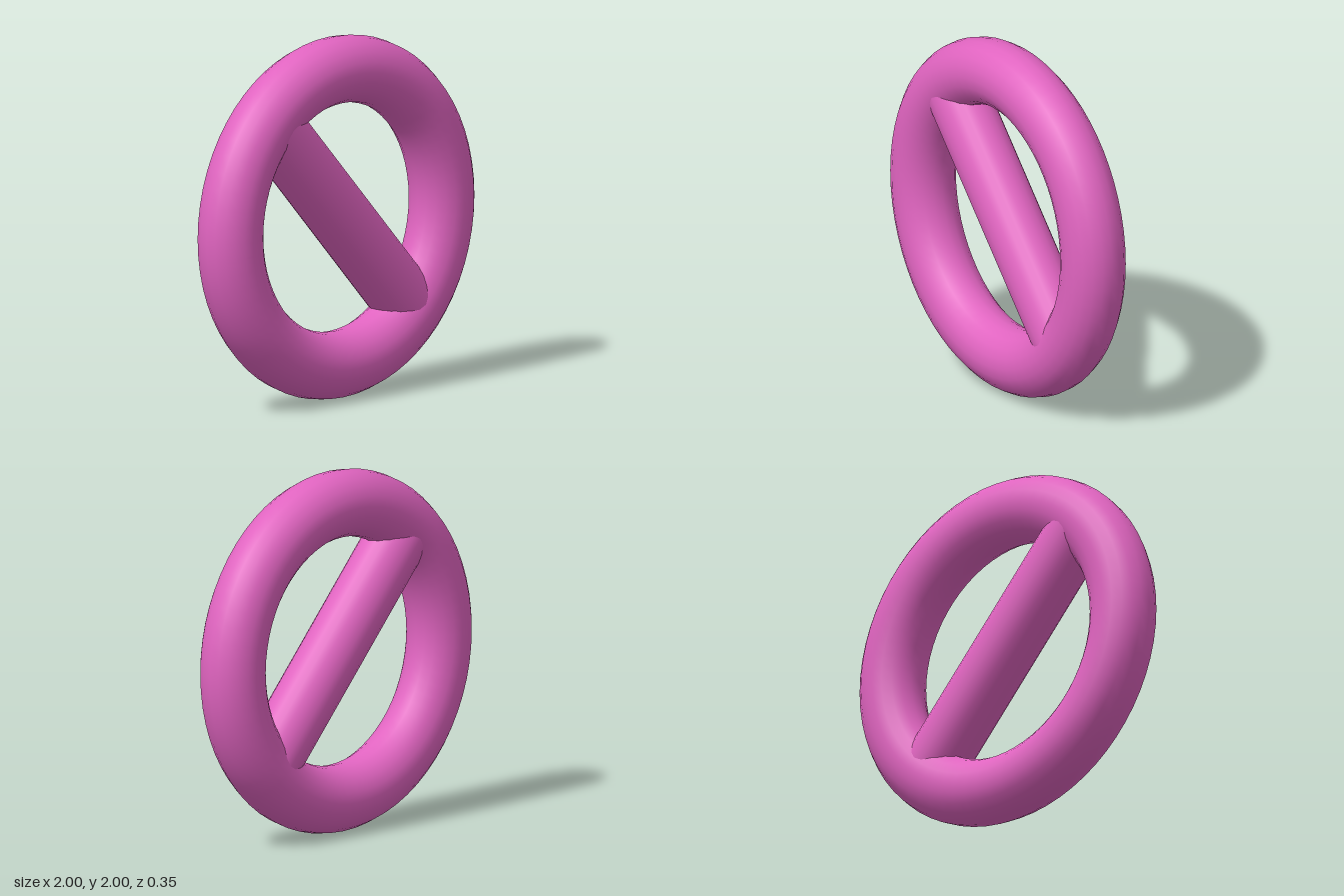
import * as THREE from 'three';

export function createModel() {
  const model = new THREE.Group();
  const pink = new THREE.MeshStandardMaterial({ color: 0xe064c0 });
  pink.name = 'orchid pink';

  // Round ring, slightly flattened front to back
  const ring = new THREE.Mesh(new THREE.TorusGeometry(0.815, 0.185, 20, 64), pink);
  ring.name = 'ring';
  ring.scale.z = 0.945;
  ring.position.y = 1;
  model.add(ring);

  // Diagonal bar whose ends are buried in the ring
  const bar = new THREE.Mesh(new THREE.CylinderGeometry(0.177, 0.177, 1.56, 24), pink);
  bar.name = 'diagonalBar';
  bar.scale.z = 0.93;
  bar.rotation.z = THREE.MathUtils.degToRad(42.7);
  bar.position.set(0.016, 1.016, 0);
  model.add(bar);

  return model;
}
